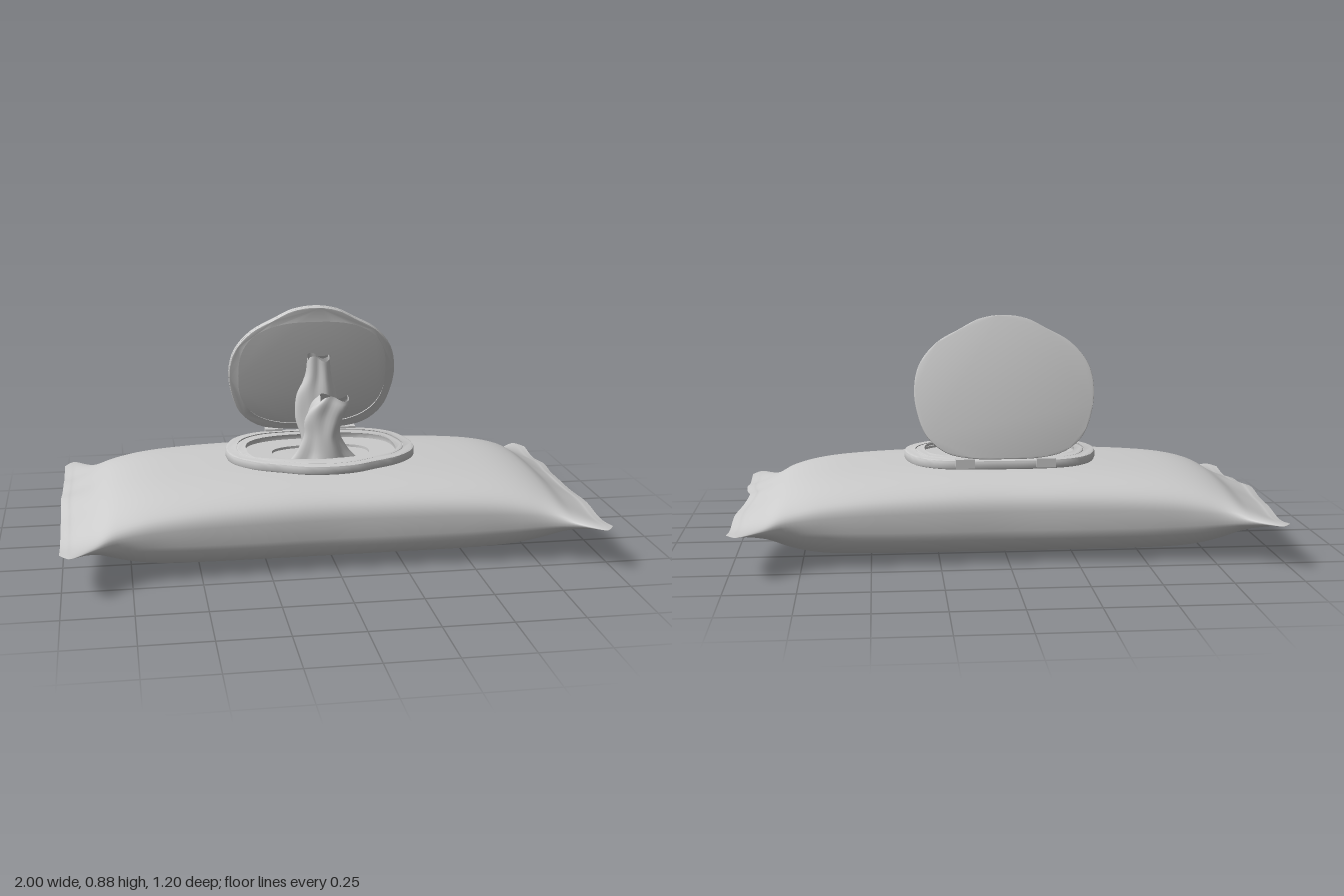
import * as THREE from 'three';
import { toCreasedNormals } from 'three/addons/utils/BufferGeometryUtils.js';

const material = new THREE.MeshStandardMaterial({ color: 0xcccccc, side: THREE.DoubleSide });

function addMesh(parent, geometry, name) {
  const mesh = new THREE.Mesh(geometry, material);
  mesh.name = name;
  parent.add(mesh);
  return mesh;
}

// Smooth skin over a list of closed rings with equal point counts
function loft(rings) {
  const n = rings[0].length, positions = [], index = [];
  rings.forEach(ring => ring.forEach(p => positions.push(p.x, p.y, p.z)));
  for (let r = 0; r < rings.length - 1; r++) {
    for (let i = 0; i < n; i++) {
      const a = r * n + i, b = r * n + (i + 1) % n;
      index.push(a, a + n, b, b, a + n, b + n);
    }
  }
  const geometry = new THREE.BufferGeometry();
  geometry.setAttribute('position', new THREE.Float32BufferAttribute(positions, 3));
  geometry.setIndex(index);
  geometry.computeVertexNormals();
  return geometry;
}

// Values of several columns, interpolated smoothly through the rows
function sampleRows(rows, steps) {
  const curve = cols => new THREE.CatmullRomCurve3(
    rows.map(r => new THREE.Vector3(...cols.map(c => r[c]))), false, 'catmullrom', 0.5);
  const a = curve([0, 1, 2]), b = curve([0, 3, 4]);
  return Array.from({ length: steps + 1 }, (_, i) => {
    const p = a.getPoint(i / steps), q = b.getPoint(i / steps);
    return [p.x, p.y, p.z, q.y, q.z];
  });
}

// Tabbed outline shared by the lid and the frame
function tabOutline(sx, sy) {
  const half = [[0.09, 0.258], [0.16, 0.222], [0.25, 0.17], [0.315, 0.09], [0.335, 0],
    [0.325, -0.09], [0.29, -0.18], [0.22, -0.24], [0.12, -0.263]];
  const points = [[0, 0.272], ...half, [0, -0.266], ...half.slice().reverse().map(([x, y]) => [-x, y])];
  const curve = new THREE.CatmullRomCurve3(
    points.map(([x, y]) => new THREE.Vector3(x * sx, y * sy, 0)), true);
  return curve.getPoints(80).slice(0, 80).map(p => new THREE.Vector2(p.x, p.y));
}

function ovalOutline(rx, ry, power, cy = 0) {
  return Array.from({ length: 64 }, (_, i) => {
    const a = -i / 64 * Math.PI * 2, c = Math.cos(a), s = Math.sin(a);
    return new THREE.Vector2(Math.sign(c) * Math.abs(c) ** (2 / power) * rx,
      cy + Math.sign(s) * Math.abs(s) ** (2 / power) * ry);
  });
}

function slab(outer, inner, depth, bevel) {
  const shape = new THREE.Shape(outer);
  if (inner) shape.holes.push(new THREE.Path(inner));
  const geometry = new THREE.ExtrudeGeometry(shape, {
    depth: depth - 2 * bevel, bevelEnabled: bevel > 0, bevelSize: bevel,
    bevelThickness: bevel, bevelOffset: -bevel, bevelSegments: 2 });
  geometry.translate(0, 0, bevel);
  return toCreasedNormals(geometry, 0.7);
}

// Soft pouch: columns are x, half width, section power, top, bottom
function bagGeometry() {
  const half = [[0.25, 0.44, 3.2, 0.318, 0.002], [0.5, 0.447, 3.1, 0.308, 0.003],
    [0.68, 0.455, 2.8, 0.292, 0.008], [0.8, 0.475, 2.4, 0.262, 0.035],
    [0.88, 0.525, 1.9, 0.215, 0.085], [0.95, 0.595, 1.6, 0.18, 0.14], [0.975, 0.59, 1.6, 0.172, 0.152],
    [1, 0.55, 1.6, 0.163, 0.161]];
  const rows = [...half.slice().reverse().map(([x, ...rest]) => [-x, ...rest]),
    [0, 0.434, 3.2, 0.32, 0], ...half];
  return loft(sampleRows(rows, 96).map(([x, w, power, top, bottom]) => {
    const end = THREE.MathUtils.smoothstep(Math.abs(x), 0.82, 1);
    return Array.from({ length: 72 }, (_, i) => {
      const a = i / 72 * Math.PI * 2, c = Math.cos(a), s = Math.sin(a);
      const z = Math.sign(c) * Math.abs(c) ** (2 / power) * w;
      const mid = THREE.MathUtils.lerp(0.16, (top + bottom) / 2, Math.abs(s));
      const y = mid + Math.sign(s) * Math.abs(s) ** (2 / power) * (top - bottom) / 2;
      // wavy end seam, with a pinch in the left end
      const fold = Math.exp(-((z / 0.16) ** 2)) * end;
      const lift = end * (0.018 * Math.cos(z * 7.5) ** 3);
      return new THREE.Vector3(x - (x > 0 ? 0.034 : 0.004) * fold, y + lift, z);
    });
  }));
}

// Crumpled tissue lobe: columns are y, centre x, centre z, radius x, radius z
function tissueGeometry(rows, twist, phase) {
  const samples = sampleRows(rows, 28);
  return loft(samples.map(([y, cx, cz, rx, rz], k) => {
    const t = k / 28;
    return Array.from({ length: 40 }, (_, i) => {
      const a = i / 40 * Math.PI * 2;
      const ripple = 0.9 + 0.1 * Math.cos(4 * a + twist * t + phase) + 0.04 * Math.cos(7 * a - twist * t);
      const rim = t * t * 0.012 * Math.cos(3 * a + phase);
      return new THREE.Vector3(cx + Math.cos(a) * rx * ripple, y + rim, cz + Math.sin(a) * rz * ripple);
    });
  }));
}

export function createModel() {
  const model = new THREE.Group();
  model.name = 'wipesPack';
  addMesh(model, bagGeometry(), 'bag');

  // Frame around the opening, built from stacked flat rings
  const frame = new THREE.Group();
  frame.name = 'openingFrame';
  model.add(frame);
  const opening = ovalOutline(0.295, 0.2, 2.8, 0.005);
  const rings = [
    ['outerRim', tabOutline(1.1, 1.03), tabOutline(1.0, 0.93), 0.035, 0.008, 0.354],
    ['groove', tabOutline(1.02, 0.95), tabOutline(0.93, 0.86), 0.024, 0, 0.343],
    ['innerRim', tabOutline(0.97, 0.88), opening, 0.035, 0.005, 0.354],
    ['openingFloor', ovalOutline(0.305, 0.21, 2.8, 0.005), ovalOutline(0.19, 0.1, 2.6, 0.005), 0.01, 0, 0.334]];
  for (const [name, outer, inner, depth, bevel, top] of rings) {
    const ring = addMesh(frame, slab(outer, inner, depth, bevel), name);
    ring.rotation.x = Math.PI / 2;
    ring.position.y = top;
  }

  // Open lid leaning forward from the hinge
  const lid = new THREE.Group();
  lid.name = 'lid';
  lid.position.set(0, 0.348, -0.29);
  lid.rotation.x = 0.24;
  model.add(lid);
  const panel = addMesh(lid, slab(tabOutline(1, 1), null, 0.014, 0.004), 'lidPanel');
  const rim = addMesh(lid, slab(tabOutline(0.995, 0.995), ovalOutline(0.3, 0.228, 2.7, -0.015), 0.016, 0.003), 'lidRim');
  panel.position.y = rim.position.y = 0.28;
  rim.position.z = 0.009;

  // Hinge tabs
  for (const side of [-1, 1]) {
    const hinge = addMesh(model, new THREE.BoxGeometry(0.07, 0.034, 0.04), 'hinge');
    hinge.position.set(side * 0.15, 0.345, -0.27);
  }

  // Tissue pulled up through the opening
  const tissue = new THREE.Group();
  tissue.name = 'tissue';
  model.add(tissue);
  addMesh(tissue, tissueGeometry([[0.32, 0, 0.045, 0.13, 0.07], [0.36, 0, 0.048, 0.1, 0.062],
    [0.42, 0, 0.048, 0.075, 0.057], [0.48, 0.01, 0.048, 0.085, 0.054],
    [0.53, 0.03, 0.052, 0.085, 0.05], [0.56, 0.045, 0.058, 0.065, 0.034]], 2.5, 0.6), 'tissueFront');
  addMesh(tissue, tissueGeometry([[0.32, 0, -0.03, 0.08, 0.045], [0.38, 0, -0.042, 0.07, 0.04],
    [0.46, 0, -0.07, 0.09, 0.052], [0.55, 0, -0.085, 0.085, 0.062],
    [0.62, 0.005, -0.085, 0.06, 0.055], [0.69, 0.005, -0.082, 0.05, 0.042]], 3, 0), 'tissueBack');

  // Folded tip hanging behind the tissue
  const tip = new THREE.Shape([[-0.045, 0], [0.05, 0.005], [0.035, -0.04], [0, -0.06]]
    .map(p => new THREE.Vector2(...p)));
  const flap = addMesh(tissue, new THREE.ShapeGeometry(tip), 'tissueTip');
  flap.position.set(0.01, 0.685, -0.118);
  flap.rotation.x = 0.55;
  return model;
}
